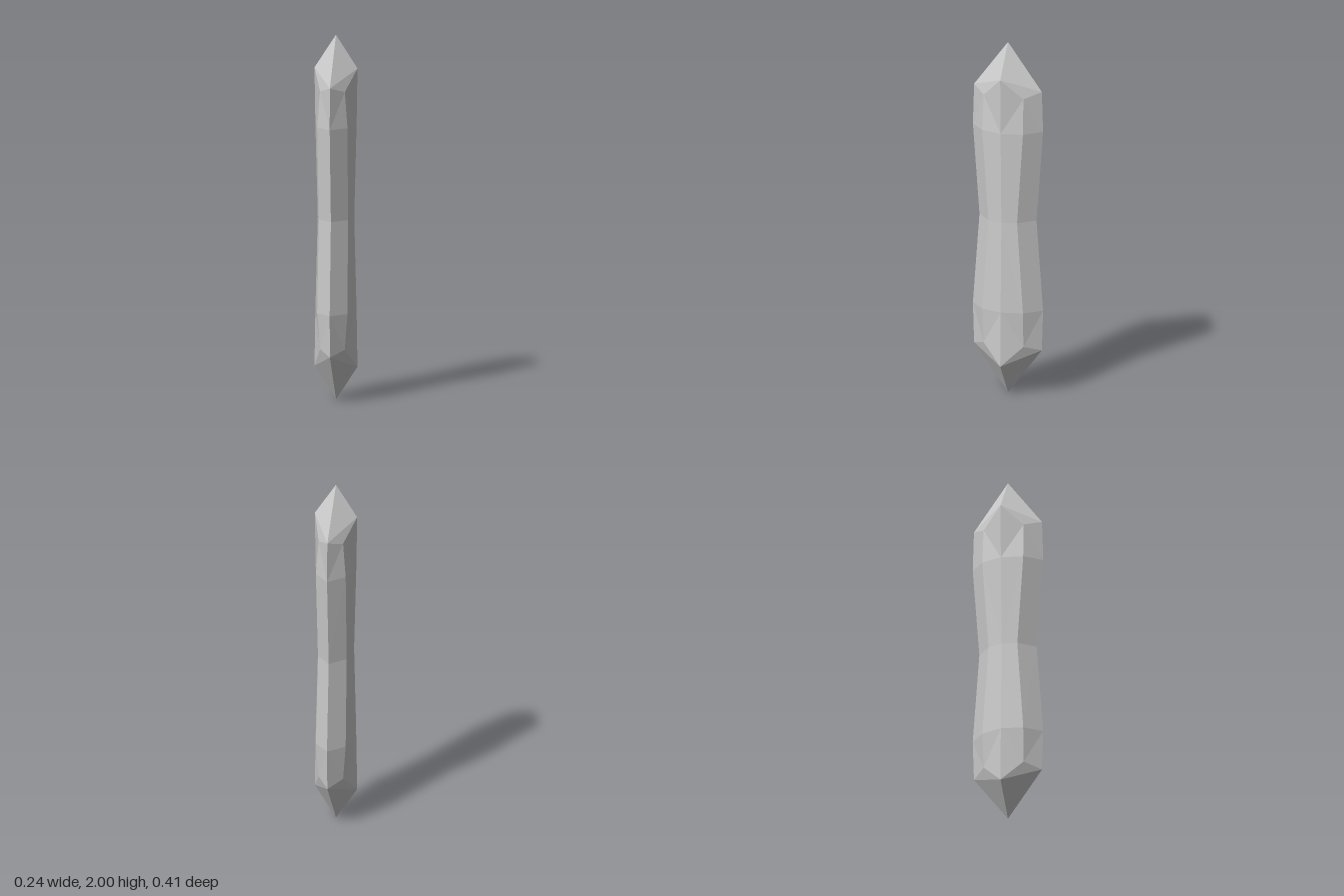
import * as THREE from 'three';

// Quarter cross-sections of the upper half: [x, y, z] on the side ridge, the diagonal ridge and the front ridge
const RINGS = [
  [[0.118, 1.818, 0], [0.068, 1.707, 0.115], [0, 1.738, 0.196]],
  [[0.113, 1.51, 0], [0.083, 1.51, 0.118], [0, 1.51, 0.203]],
  [[0.1, 1, 0], [0.08, 1, 0.083], [0, 1, 0.165]],
];

// Mirror a quarter section into a closed ring of eight corners
function fullRing([side, diag, front]) {
  const flip = ([x, y, z], sx, sz) => [x * sx, y, z * sz];
  return [
    side, diag, front, flip(diag, -1, 1),
    flip(side, -1, 1), flip(diag, -1, -1), flip(front, 1, -1), flip(diag, 1, -1),
  ];
}

function crystalGeometry() {
  const upper = RINGS.map(fullRing);
  const lower = upper.slice(0, -1).reverse().map((ring) => ring.map(([x, y, z]) => [x, 2 - y, z]));
  const rings = [...upper, ...lower];
  const positions = [];
  const tri = (...corners) => corners.forEach((c) => positions.push(...c));
  const top = [0, 2, 0];
  const bottom = [0, 0, 0];
  const last = rings[rings.length - 1];

  // Four kite-shaped facets at each tip
  for (let i = 0; i < 8; i += 2) {
    const [a, b, c] = [i, i + 1, (i + 2) % 8];
    tri(top, rings[0][c], rings[0][a]);
    tri(rings[0][a], rings[0][c], rings[0][b]);
    tri(bottom, last[a], last[c]);
    tri(last[a], last[b], last[c]);
  }

  // Facets along the shaft, split symmetrically about each ridge
  for (let r = 0; r < rings.length - 1; r++) {
    for (let i = 0; i < 8; i++) {
      const j = (i + 1) % 8;
      const [a, b, c, d] = [rings[r][i], rings[r][j], rings[r + 1][j], rings[r + 1][i]];
      const splitFromA = (i % 2 === 1) === (r < 2);
      if (splitFromA) {
        tri(a, b, c);
        tri(a, c, d);
      } else {
        tri(a, b, d);
        tri(b, c, d);
      }
    }
  }

  const geometry = new THREE.BufferGeometry();
  geometry.setAttribute('position', new THREE.Float32BufferAttribute(positions, 3));
  geometry.computeVertexNormals();
  return geometry;
}

export function createModel() {
  const group = new THREE.Group();
  group.name = 'crystal';
  const shard = new THREE.Mesh(
    crystalGeometry(),
    new THREE.MeshStandardMaterial({ color: 0xcccccc, flatShading: true }),
  );
  shard.name = 'crystalShard';
  group.add(shard);
  return group;
}
